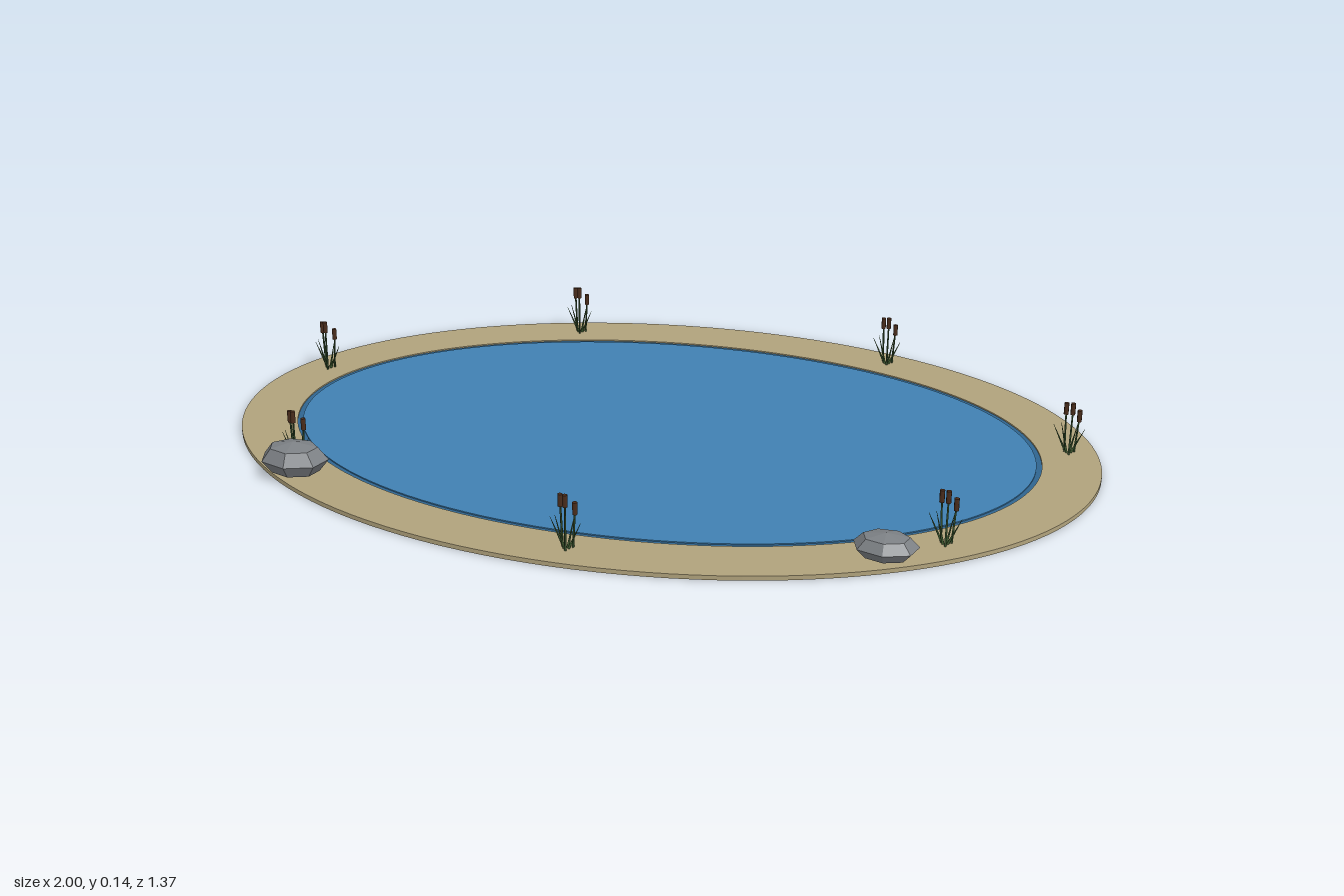
import * as THREE from 'three';

const mat = (color, extra = {}) => {
  const m = new THREE.MeshStandardMaterial(extra);
  m.color.set(color);
  return m;
};

function add(parent, name, geometry, material) {
  const mesh = new THREE.Mesh(geometry, material);
  mesh.name = name;
  parent.add(mesh);
  return mesh;
}

// Flat elliptical disc lying on the ground, from y = 0 up to the given height
function ellipseSlab(rx, rz, height, hole) {
  const shape = new THREE.Shape().absellipse(0, 0, rx, rz, 0, Math.PI * 2);
  if (hole) shape.holes.push(new THREE.Path().absellipse(0, 0, hole[0], hole[1], 0, Math.PI * 2));
  return new THREE.ExtrudeGeometry(shape, { depth: height, bevelEnabled: false, curveSegments: 64 })
    .rotateX(-Math.PI / 2);
}

// Thin tapered rod between two points
function rod(from, to, rBottom, rTop) {
  const a = new THREE.Vector3(...from), b = new THREE.Vector3(...to);
  const dir = b.clone().sub(a);
  const g = new THREE.CylinderGeometry(rTop, rBottom, dir.length(), 6);
  g.applyQuaternion(new THREE.Quaternion().setFromUnitVectors(new THREE.Vector3(0, 1, 0), dir.normalize()));
  const c = a.add(b).multiplyScalar(0.5);
  return g.translate(c.x, c.y, c.z);
}

export function createModel() {
  const pond = new THREE.Group();
  pond.name = 'pond';

  const stemMat = mat(0x35502c), leafMat = mat(0x3f5c30), headMat = mat(0x4a2d1c);
  const rockMat = mat(0x7c8084, { flatShading: true });

  // Sandy bank, dark shallow rim and water surface
  add(pond, 'bank', ellipseSlab(1, 0.685, 0.01, [0.87, 0.557]), mat(0xb0a27c));
  add(pond, 'waterRim', ellipseSlab(0.87, 0.557, 0.007), mat(0x2f658f));
  add(pond, 'water', ellipseSlab(0.858, 0.545, 0.009).translate(0, 0.0005, 0), mat(0x4080b2));

  // Squashed faceted boulders: x, y, z, then half sizes
  const rocks = [
    [-0.715, 0.048, 0.43, 0.078, 0.04, 0.058],
    [0.597, 0.038, 0.5, 0.069, 0.03, 0.049],
  ];
  for (const [x, y, z, sx, sy, sz] of rocks) {
    const g = new THREE.SphereGeometry(1, 7, 4).rotateY(Math.PI / 2);
    const rock = add(pond, 'rock', g, rockMat);
    rock.position.set(x, y, z);
    rock.scale.set(sx, sy, sz);
  }

  // Cattail clumps around the bank
  const stems = [[0.003, 0.012, 0.135], [-0.012, -0.004, 0.128], [0.018, -0.006, 0.112]];
  const leaves = [[-0.037, -0.012, 0.07], [0.032, 0.002, 0.07], [-0.02, 0.008, 0.085], [0.016, -0.008, 0.08]];
  const spots = [[-0.9, -0.17], [-0.74, 0.365], [-0.365, -0.57], [-0.035, 0.617],
    [0.445, -0.55], [0.705, 0.405], [0.92, -0.115]];
  for (const [x, z] of spots) {
    const clump = new THREE.Group();
    clump.name = 'cattailClump';
    clump.position.set(x, 0, z);
    for (const [sx, sz, top] of stems) {
      add(clump, 'stem', rod([sx * 0.7, 0.008, sz], [sx, top - 0.02, sz], 0.0025, 0.002), stemMat);
      add(clump, 'seedHead', new THREE.CylinderGeometry(0.0055, 0.0055, 0.027, 7)
        .translate(sx, top - 0.0135, sz), headMat);
    }
    for (const [lx, lz, top] of leaves) {
      add(clump, 'leaf', rod([lx * 0.15, 0.008, lz * 0.3], [lx, top, lz], 0.003, 0.0004), leafMat);
    }
    pond.add(clump);
  }
  return pond;
}
